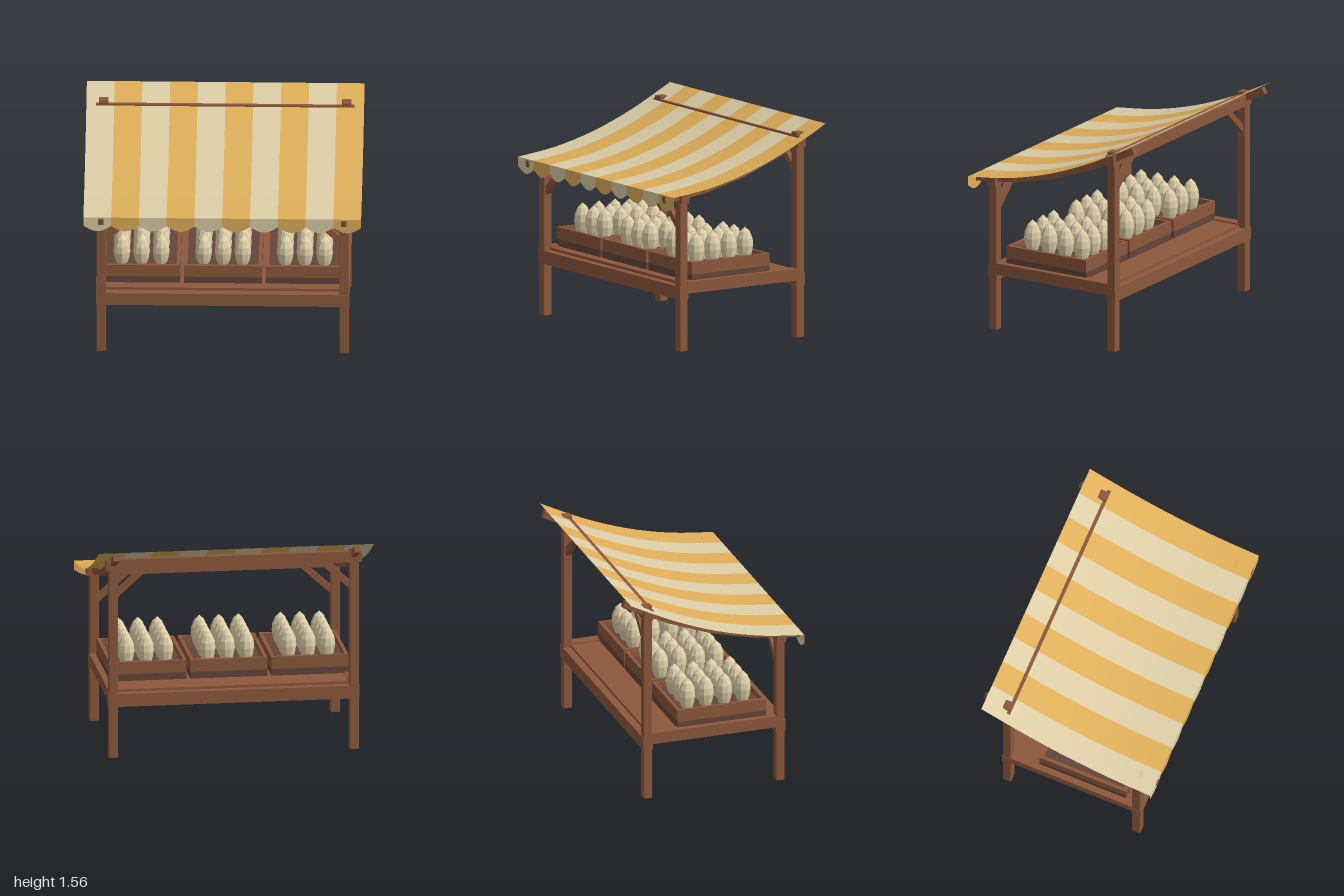
import * as THREE from 'three';
import { RoundedBoxGeometry } from 'three/addons/geometries/RoundedBoxGeometry.js';

const mat = (name, color, extra = {}) => {
  const m = new THREE.MeshStandardMaterial({ color, ...extra });
  m.name = name;
  return m;
};

export function createModel() {
  const wood = mat('wood', 0x8c583c);
  const darkWood = mat('dark wood', 0x64443a);
  const produceMat = mat('pale produce', 0xdfd0aa, { flatShading: true });
  const cream = mat('cream cloth', 0xdccda6, { side: THREE.DoubleSide });
  const yellow = mat('yellow cloth', 0xdeae5a, { side: THREE.DoubleSide });

  const model = new THREE.Group();
  model.name = 'marketStall';

  const add = (name, geometry, material, x, y, z, parent = model) => {
    const mesh = new THREE.Mesh(geometry, material);
    mesh.name = name;
    mesh.position.set(x, y, z);
    parent.add(mesh);
    return mesh;
  };
  // Box given by its lower and upper limits on each axis
  const span = (name, material, [x0, x1], [y0, y1], [z0, z1], parent = model) =>
    add(name, new THREE.BoxGeometry(x1 - x0, y1 - y0, z1 - z0), material,
      (x0 + x1) / 2, (y0 + y1) / 2, (z0 + z1) / 2, parent);

  // Frames at the front and back: posts, table beam, roof beam, braces
  const frames = [
    { side: 'front', z: 0.51, top: 1.17, beam: [1.09, 1.165] },
    { side: 'back', z: -0.5, top: 1.507, beam: [1.4, 1.482] },
  ];
  for (const { side, z, top, beam } of frames) {
    span(side + 'TableBeam', wood, [-0.912, 0.912], [0.385, 0.48], [z - 0.037, z + 0.037]);
    span(side + 'RoofBeam', wood, [-0.93, 0.93], beam, [z - 0.033, z + 0.033]);
    for (const s of [-1, 1]) {
      const post = new RoundedBoxGeometry(0.068, top - 0.003, 0.066, 1, 0.006);
      add(side + 'Post', post, wood, s * 0.875, (top + 0.003) / 2, z);
      const brace = add(side + 'Brace', new THREE.BoxGeometry(0.32, 0.045, 0.04), wood,
        s * 0.755, beam[0] - 0.09, z);
      brace.rotation.z = -s * 0.74;
    }
  }

  // Table top and side rails
  span('tableTop', wood, [-0.85, 0.85], [0.43, 0.5], [-0.48, 0.49]);
  for (const s of [-1, 1]) {
    const x = s * 0.875;
    span('sideRail', wood, [x - 0.038, x + 0.038], [0.425, 0.51], [-0.475, 0.48]);
  }

  // Crates, each filled with a three by four block of produce
  const profile = [[0.035, 0.58], [0.052, 0.635], [0.062, 0.69], [0.057, 0.74],
    [0.036, 0.79], [0, 0.825]].map(([r, y]) => new THREE.Vector2(r, y));
  const produceGeo = new THREE.LatheGeometry(profile, 9);
  const w = 0.28, z0 = -0.26, z1 = 0.415, t = 0.025;
  for (const cx of [-0.588, 0, 0.588]) {
    const crate = new THREE.Group();
    crate.name = 'crate';
    crate.position.x = cx;
    model.add(crate);
    span('crateBase', darkWood, [-w, w], [0.5, 0.55], [z0, z1], crate);
    span('crateFloor', darkWood, [-w + t, w - t], [0.55, 0.6], [z0 + t, z1 - t], crate);
    for (const z of [z0, z1 - t]) {
      span('crateEndWall', wood, [-w, w], [0.55, 0.64], [z, z + t], crate);
    }
    for (const x of [-w, w - t]) {
      span('crateSideWall', wood, [x, x + t], [0.55, 0.64], [z0 + t, z1 - t], crate);
    }
    for (let i = -1; i <= 1; i++) {
      for (let j = 0; j < 4; j++) {
        add('produce', produceGeo, produceMat, i * 0.141, 0, 0.283 - j * 0.141, crate);
      }
    }
  }

  // Sagging roof line from back to front, as (z, y)
  const line = [[-0.66, 1.567], [-0.33, 1.405], [0, 1.28], [0.335, 1.197], [0.66, 1.157]]
    .map(([z, y]) => new THREE.Vector2(z, y));
  const sag = new THREE.SplineCurve(line);

  // Rafters follow the roof line in straight pieces
  for (const s of [-1, 1]) {
    for (let i = 0; i < 4; i++) {
      const a = line[i], b = line[i + 1];
      const d = b.clone().sub(a);
      const angle = Math.atan2(-d.y, d.x);
      const drop = 0.034;
      const rafter = add('rafter', new THREE.BoxGeometry(0.04, 0.05, d.length() + 0.006), wood,
        s * 0.875, (a.y + b.y) / 2 - Math.cos(angle) * drop,
        (a.x + b.x) / 2 - Math.sin(angle) * drop + (i === 3 ? 0.007 : 0));
      rafter.rotation.x = angle;
    }
  }

  // Striped awning cloth with a scalloped valance
  const steps = 16;
  const scallop = new THREE.Shape();
  scallop.moveTo(-0.1, 1.157);
  scallop.lineTo(-0.1, 1.09);
  for (let i = 1; i <= 10; i++) {
    const u = i / 10;
    scallop.lineTo(-0.1 + 0.2 * u, 1.09 - 0.044 * Math.sin(Math.PI * u));
  }
  scallop.lineTo(0.1, 1.157);
  const scallopGeo = new THREE.ShapeGeometry(scallop);
  const stripeGeo = new THREE.PlaneGeometry(0.2, 1, 1, steps);
  const pos = stripeGeo.attributes.position;
  for (let i = 0; i < pos.count; i++) {
    const p = sag.getPoint(0.5 - pos.getY(i));
    pos.setXYZ(i, pos.getX(i), p.y, p.x);
  }
  stripeGeo.computeVertexNormals();
  for (let i = 0; i < 10; i++) {
    const x = -0.9 + 0.2 * i;
    const cloth = i % 2 ? yellow : cream;
    add('awningStripe', stripeGeo, cloth, x, 0, 0);
    add('valanceScallop', scallopGeo, cloth, x, 0, 0.66);
  }

  return model;
}
